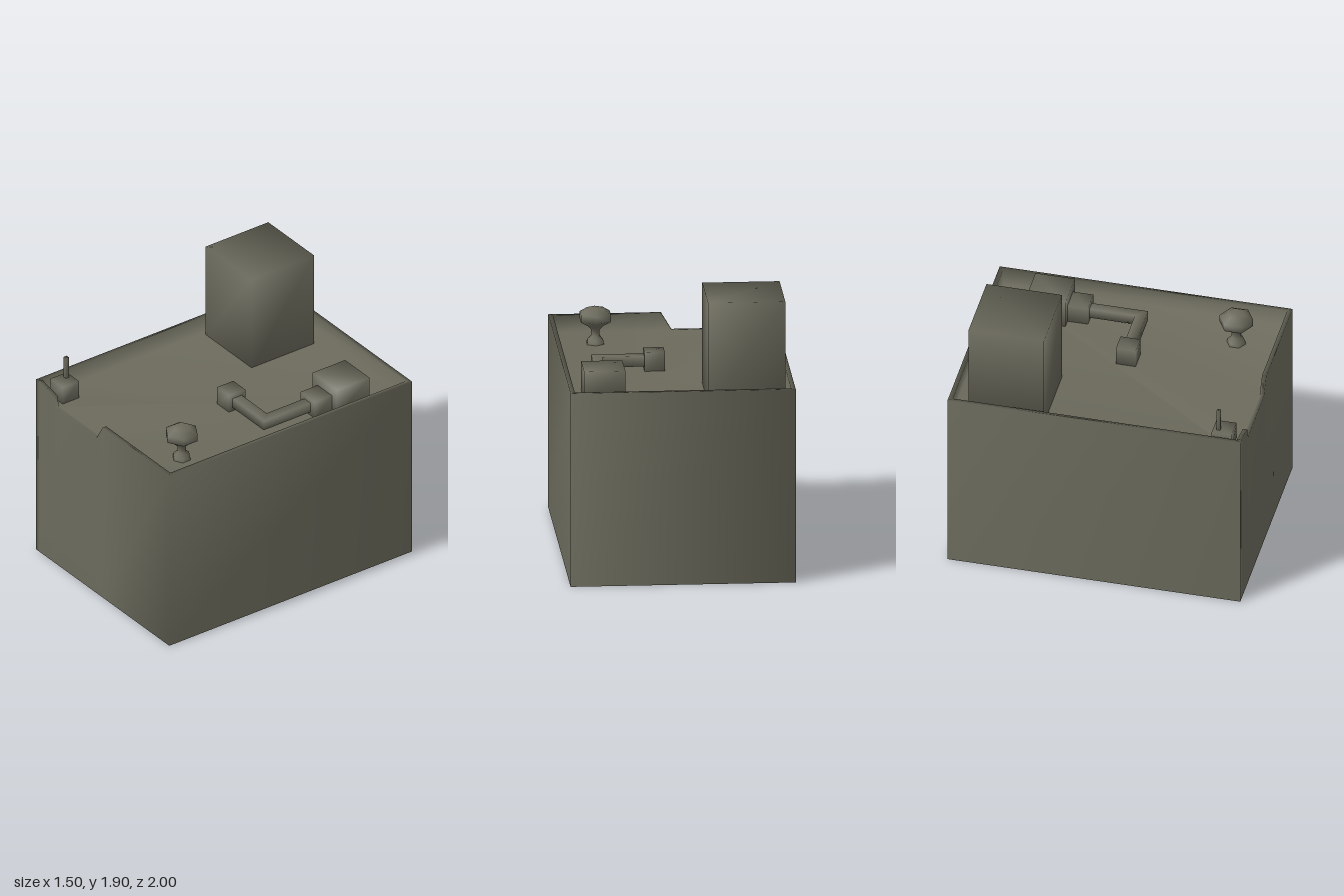
import * as THREE from 'three';
import { mergeVertices } from 'three/addons/utils/BufferGeometryUtils.js';

const ROOF = 1.21, TOP = 1.33;

// Weld corners so that shading rolls smoothly around the hard shapes
function weld(geometry) {
  geometry.deleteAttribute('normal');
  geometry.deleteAttribute('uv');
  const g = mergeVertices(geometry, 1e-4);
  g.computeVertexNormals();
  return g;
}

// Box given by its limits on each axis
function block(x0, x1, y0, y1, z0, z1) {
  const g = new THREE.BoxGeometry(x1 - x0, y1 - y0, z1 - z0);
  g.translate((x0 + x1) / 2, (y0 + y1) / 2, (z0 + z1) / 2);
  return weld(g);
}

// Outer wall, parapet with a broken front edge, and sunken roof
function shell() {
  const rim = [ // x, z, rim height, anticlockwise from above
    [0.75, -1, TOP], [-0.75, -1, TOP], [-0.75, 1, TOP], [-0.71, 1, TOP],
    [-0.55, 1, 1.295], [-0.53, 1, ROOF + 0.003], [-0.07, 1, ROOF + 0.003],
    [0, 1, TOP], [0.75, 1, TOP],
  ];
  const n = rim.length, pos = [], idx = [];
  const inX = x => THREE.MathUtils.clamp(x, -0.72, 0.72);
  const inZ = z => THREE.MathUtils.clamp(z, -0.97, 0.97);
  for (const [x, z] of rim) pos.push(x, 0, z);
  for (const [x, z, h] of rim) pos.push(x, h, z);
  for (const [x, z, h] of rim) pos.push(inX(x), h, inZ(z));
  for (const [x, z] of rim) pos.push(inX(x), ROOF, inZ(z));
  for (let r = 0; r < 3; r++) {
    for (let i = 0; i < n; i++) {
      const a = r * n + i, b = r * n + (i + 1) % n;
      idx.push(a, b, b + n, a, b + n, a + n);
    }
  }
  for (let i = 1; i < n - 1; i++) idx.push(3 * n, 3 * n + i, 3 * n + i + 1);
  const g = new THREE.BufferGeometry();
  g.setAttribute('position', new THREE.Float32BufferAttribute(pos, 3));
  g.setIndex(idx);
  return weld(g);
}

// Square duct with a mitred elbow, running from the cooling unit to the outlet
function duct() {
  const sections = [ // two plan points (outer, inner) per section
    [0.535, -0.34, 0.465, -0.34],
    [0.535, 0.065, 0.465, -0.01],
    [0.17, 0.065, 0.17, -0.01],
  ];
  const y0 = 1.235, y1 = 1.305, pos = [], idx = [];
  for (const [ox, oz, ix, iz] of sections) {
    pos.push(ox, y0, oz, ox, y1, oz, ix, y1, iz, ix, y0, iz);
  }
  for (let s = 0; s < 2; s++) {
    for (let k = 0; k < 4; k++) {
      const a = s * 4 + k, b = s * 4 + (k + 1) % 4;
      idx.push(a, b + 4, b, a, a + 4, b + 4);
    }
  }
  const g = new THREE.BufferGeometry();
  g.setAttribute('position', new THREE.Float32BufferAttribute(pos, 3));
  g.setIndex(idx);
  // turn the faces outwards
  for (let i = 0; i < idx.length; i += 3) [idx[i + 1], idx[i + 2]] = [idx[i + 2], idx[i + 1]];
  g.setIndex(idx);
  return weld(g);
}

// Hexagonal vent with a flared foot, thin neck and mushroom cap
function vent() {
  const profile = [
    [0.065, ROOF], [0.06, 1.235], [0.032, 1.265], [0.032, 1.31], [0.06, 1.338],
    [0.115, 1.37], [0.115, 1.42], [0.06, 1.453], [0, 1.453],
  ].map(([r, y]) => new THREE.Vector2(r, y));
  return weld(new THREE.LatheGeometry(profile, 6)).translate(0.46, 0, 0.685);
}

export function createModel() {
  const model = new THREE.Group();
  model.name = 'flatRoofBuilding';
  const concrete = new THREE.MeshStandardMaterial({ color: 0x6b6a5c, side: THREE.DoubleSide });
  concrete.name = 'concrete';

  const add = (name, geometry) => {
    const mesh = new THREE.Mesh(geometry, concrete);
    mesh.name = name;
    model.add(mesh);
  };

  add('wallsAndRoof', shell());
  add('roofTower', block(-0.69, -0.175, 1.2, 1.9, -0.87, -0.355));

  // Cooling unit and its ductwork
  add('coolingUnit', block(0.365, 0.64, 1.2, 1.405, -0.73, -0.46));
  add('ductCollar', block(0.425, 0.585, 1.2, 1.338, -0.46, -0.32));
  add('duct', duct());
  add('ductOutlet', block(0.05, 0.185, 1.2, 1.338, -0.04, 0.095));

  add('roofVent', vent());

  // Aerial in the corner
  add('aerialBase', block(-0.69, -0.55, 1.2, 1.338, 0.79, 0.925));
  add('aerialMast', block(-0.655, -0.63, 1.33, 1.495, 0.815, 0.84));
  return model;
}
